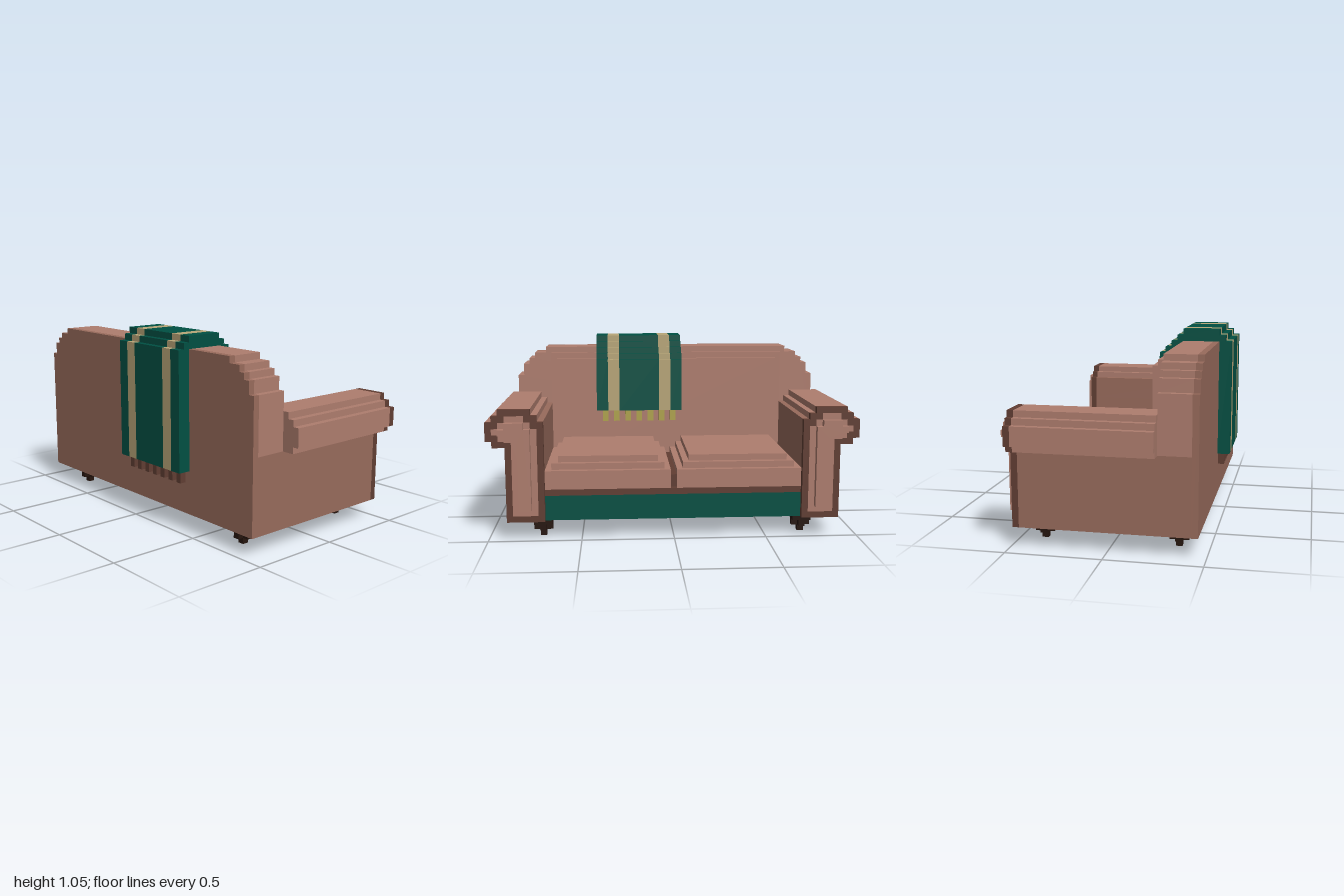
import * as THREE from 'three';

const U = 2 / 59; // one block of the grid
const mat = (color) => new THREE.MeshStandardMaterial({ color, flatShading: true });
const M = {
  light: mat(0xae7d6e), body: mat(0x986b5c), trim: mat(0x613e33), green: mat(0x005043),
  stripe: mat(0xb8a678), gold: mat(0xb0a44c), foot: mat(0x26150e),
};

export function createModel() {
  const root = new THREE.Group();
  root.name = 'sofa';
  const add = (name, geo, m, parent) => {
    const mesh = new THREE.Mesh(geo, m);
    mesh.name = name;
    parent.add(mesh);
    return mesh;
  };
  // Block given by its limits in grid units
  const box = (name, m, x0, x1, y0, y1, z0, z1, parent = root) => {
    const g = new THREE.BoxGeometry((x1 - x0) * U, (y1 - y0) * U, (z1 - z0) * U);
    g.translate((x0 + x1) / 2 * U, (y0 + y1) / 2 * U, (z0 + z1) / 2 * U);
    return add(name, g, m, parent);
  };
  // Stepped outline in x,y pushed from z0 to z1; side = -1 mirrors it
  const slab = (name, m, pts, z0, z1, side = 1, parent = root, hole = null) => {
    const scaled = (list) => list.map(([x, y]) => new THREE.Vector2(side * x * U, y * U));
    const s = new THREE.Shape(scaled(pts));
    if (hole) s.holes.push(new THREE.Path(scaled(hole)));
    const g = new THREE.ExtrudeGeometry(s, { depth: (z1 - z0) * U, bevelEnabled: false });
    g.translate(0, 0, z0 * U);
    return add(name, g, m, parent);
  };

  // Backrest: rounded top in steps
  const shoulder = [[26.5, 24], [25.5, 24], [25.5, 26], [24.5, 26], [24.5, 27], [23.5, 27],
    [23.5, 28], [21.5, 28], [21.5, 29]];
  const backOutline = (y) => [[-26.5, y], [26.5, y], ...shoulder,
    ...shoulder.map(([x, h]) => [-x, h]).reverse()];
  slab('backShell', M.body, backOutline(3), 12.5, 13.5);
  slab('backCore', M.light, backOutline(15), 7.5, 12.5);
  box('backBase', M.body, -26.5, 26.5, 3, 15, 7.5, 12.5);
  box('backPadOuter', M.light, -20.5, 20.5, 8, 28, 6.5, 7.5);
  box('backPadInner', M.light, -19.5, 19.5, 8, 27, 5.5, 6.5);

  // Seat base with coloured front band, flush with the cushions
  box('seatBase', M.body, -20.5, 20.5, 3, 7, -12.5, 7.5);
  box('seatBand', M.green, -20.5, 20.5, 3, 7, -13.5, -12.5);
  box('seatRail', M.trim, -20.5, 20.5, 7, 8, -13.5, 6.5);
  box('cushionGap', M.trim, -0.5, 0.5, 8, 10, -12.5, 5.5);

  // Arm outlines
  const roll = [[28.5, 15], [28.5, 16], [29.5, 16], [29.5, 19], [28.5, 19], [28.5, 20], [27.5, 20],
    [27.5, 21], [22.5, 21], [22.5, 20], [21.5, 20], [21.5, 19]];
  const inset = [[21.5, 4], [25.5, 4], [25.5, 16], [27.5, 16], [27.5, 17], [28.5, 17], [28.5, 18],
    [27.5, 18], [27.5, 19], [26.5, 19], [26.5, 20], [23.5, 20], [23.5, 19], [22.5, 19], [22.5, 18], [21.5, 18]];
  const raised = [[22.5, 5], [24.5, 5], [24.5, 16], [26.5, 16], [26.5, 17], [27.5, 17], [27.5, 18],
    [26.5, 18], [26.5, 19], [23.5, 19], [23.5, 18], [22.5, 18]];

  for (const s of [1, -1]) {
    const label = s > 0 ? 'left' : 'right';
    const span = (a, b) => (s > 0 ? [a, b] : [-b, -a]);

    // Seat cushion in three tiers
    const cushion = new THREE.Group();
    cushion.name = label + 'Cushion';
    root.add(cushion);
    for (let i = 0; i < 3; i++) {
      box('cushionTier', M.light, ...span(0.5 + i, 20.5 - i), i ? 10 + i : 8, 11 + i,
        -13.5 + i, i ? 5.5 : 6.5, cushion);
    }

    // Arm with a bordered front and raised panel
    const arm = new THREE.Group();
    arm.name = label + 'Arm';
    root.add(arm);
    box('armBase', M.body, ...span(20.5, 26.5), 3, 15, -13.5, 7.5, arm);
    box('armInnerWall', M.body, ...span(20.5, 21.5), 15, 19, -13.5, 7.5, arm);
    slab('armRoll', M.light, [[21.5, 15], ...roll], -13.5, 7.5, s, arm);
    slab('armTrim', M.trim, [[20.5, 3], [26.5, 3], [26.5, 15], ...roll, [20.5, 19]], -14.5, -13.5, s, arm, inset);
    slab('armFacing', M.light, inset, -14.5, -13.5, s, arm);
    slab('armPanel', M.light, raised, -15.5, -14.5, s, arm);

    // Feet
    for (const z of [10, -11]) {
      const foot = new THREE.Group();
      foot.name = label + (z < 0 ? 'SeatSideFoot' : 'BackSideFoot');
      root.add(foot);
      const x = s * 21;
      box('footPlate', M.foot, x - 1.5, x + 1.5, 2, 3, z - 1.5, z + 1.5, foot);
      box('footCross', M.foot, x - 1.5, x + 1.5, 1, 2, z - 0.5, z + 0.5, foot);
      for (const d of [-1, 1]) box('footCross', M.foot, x - 0.5, x + 0.5, 1, 2, z + d - 0.5, z + d + 0.5, foot);
      box('footTip', M.foot, x - 0.5, x + 0.5, 0, 1, z - 0.5, z + 0.5, foot);
    }
  }

  // Throw blanket: stepped profile in z,y pushed along x, one strip per colour
  const blanket = new THREE.Group();
  blanket.name = 'blanket';
  root.add(blanket);
  const drape = [[15.5, 10], [15.5, 29], [14.5, 29], [14.5, 30], [13.5, 30], [13.5, 31], [7.5, 31],
    [7.5, 30], [6.5, 30], [6.5, 29], [5.5, 29], [5.5, 28], [4.5, 28], [4.5, 27], [3.5, 27], [3.5, 18],
    [5.5, 18], [5.5, 27], [6.5, 27], [6.5, 28], [7.5, 28], [7.5, 29], [13.5, 29], [13.5, 10]];
  const cuts = [-2.5, -0.5, 1.5, 8.5, 10.5, 12.5];
  for (let i = 0; i < 5; i++) {
    const strip = slab(i % 2 ? 'blanketStripe' : 'blanketCloth', i % 2 ? M.stripe : M.green,
      drape.map(([z, y]) => [-z, y]), 0, cuts[i + 1] - cuts[i], 1, blanket);
    strip.rotation.y = Math.PI / 2;
    strip.position.x = cuts[i] * U;
  }
  // Fringe on both ends
  for (let i = 0; i < 7; i++) {
    const x = -1.5 + 2 * i;
    box('backFringe', M.trim, x, x + 1, 8, 10, 13.5, 14.5, blanket);
    box('seatFringe', M.gold, x, x + 1, 16, 18, 4.5, 5.5, blanket);
  }
  return root;
}
